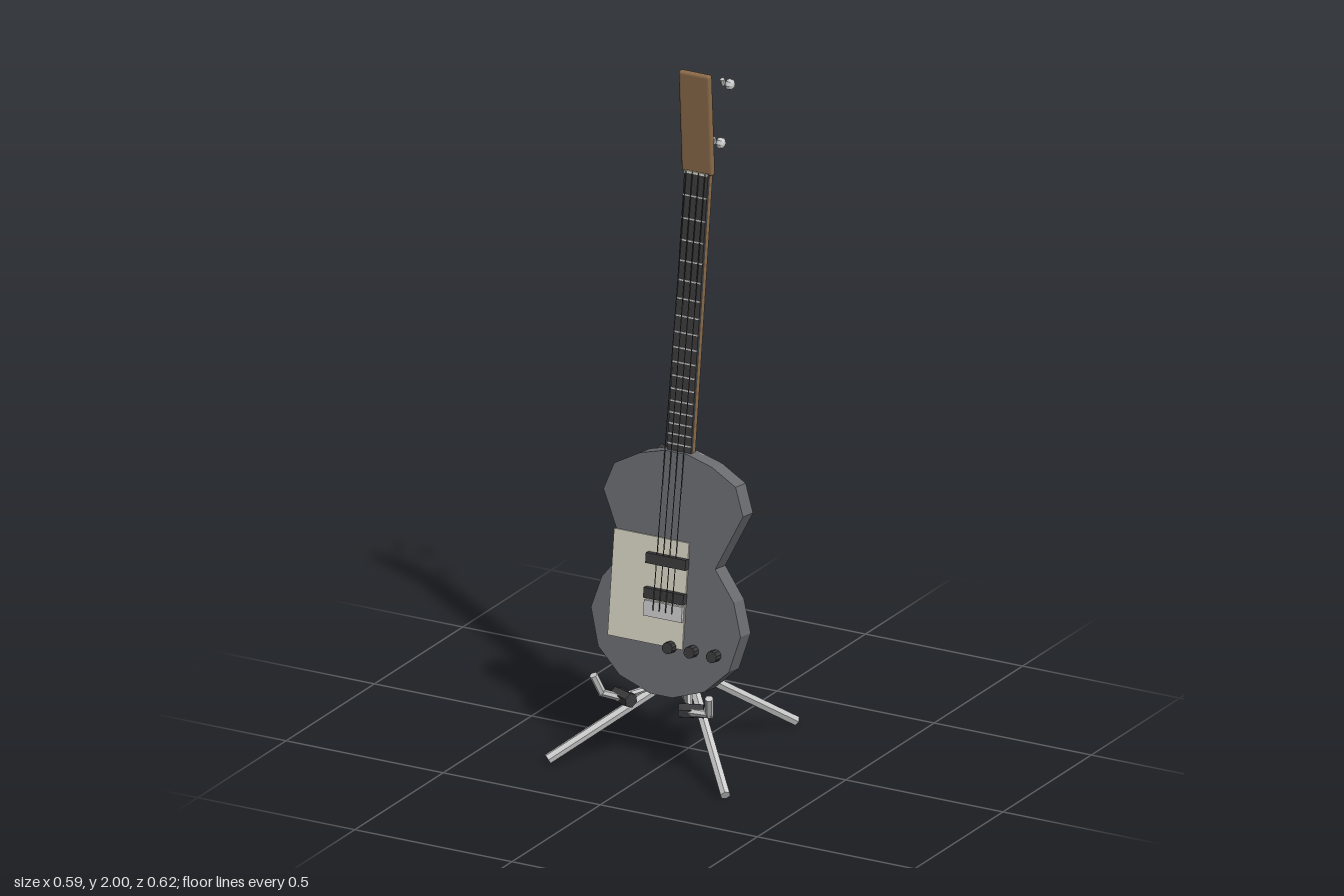
import * as THREE from 'three';
import { RoundedBoxGeometry } from 'three/addons/geometries/RoundedBoxGeometry.js';

const mat = (color) => new THREE.MeshStandardMaterial({ color, flatShading: true });
const M = {
  metal: mat(0xcccccc), body: mat(0x6a6c70), dark: mat(0x3a3a3c),
  wood: mat(0x8b6b4a), cream: mat(0xd8d4c4), string: mat(0x444444),
};
const V = (x, y, z) => new THREE.Vector3(x, y, z);

function add(parent, name, geo, material, x = 0, y = 0, z = 0) {
  const m = new THREE.Mesh(geo, material);
  m.name = name;
  m.position.set(x, y, z);
  parent.add(m);
  return m;
}

// Straight rod between two points
function rod(parent, name, a, b, r, material, sides = 6) {
  const dir = b.clone().sub(a);
  const m = add(parent, name, new THREE.CylinderGeometry(r, r, dir.length(), sides), material);
  m.position.copy(a).add(b).multiplyScalar(0.5);
  m.quaternion.setFromUnitVectors(V(0, 1, 0), dir.normalize());
  return m;
}

function box(parent, name, w, h, d, material, x, y, z) {
  return add(parent, name, new THREE.BoxGeometry(w, h, d), material, x, y, z);
}

// Instrument in its own upright frame: y from the body's bottom, z = 0 in mid body
function buildGuitar() {
  const g = new THREE.Group();
  g.name = 'guitar';

  // Body: mirrored half outline
  const half = [[0.035, 0], [0.135, 0.035], [0.208, 0.105], [0.238, 0.212], [0.21, 0.305],
    [0.145, 0.39], [0.222, 0.555], [0.193, 0.635], [0.115, 0.678], [0.035, 0.7]];
  const outline = [...half, ...half.map(([x, y]) => [-x, y]).reverse()];
  const shape = new THREE.Shape(outline.map(([x, y]) => new THREE.Vector2(x, y)));
  const bodyGeo = new THREE.ExtrudeGeometry(shape, { depth: 0.058, bevelEnabled: false });
  add(g, 'body', bodyGeo, M.body, 0, 0, -0.029);

  // Neck with chamfered back, fretboard and frets
  const nutY = 1.504, neckY = 0.67;
  const section = new THREE.Shape([[-0.037, -0.004], [0.037, -0.004], [0.037, 0.014], [0.025, 0.026],
    [-0.025, 0.026], [-0.037, 0.014]].map(([x, y]) => new THREE.Vector2(x, y)));
  const neckGeo = new THREE.ExtrudeGeometry(section, { depth: nutY - neckY, bevelEnabled: false });
  neckGeo.rotateX(-Math.PI / 2);
  add(g, 'neck', neckGeo, M.wood, 0, neckY, 0);
  box(g, 'fretboard', 0.076, nutY - 0.69, 0.011, M.dark, 0, (nutY + 0.69) / 2, 0.0095);
  const scale = nutY - 0.25;
  for (let i = 1; i <= 17; i++) {
    box(g, 'fret', 0.074, 0.004, 0.003, M.metal, 0, nutY - scale * (1 - 2 ** (-i / 12)), 0.016);
  }
  box(g, 'nut', 0.074, 0.008, 0.008, M.cream, 0, nutY - 0.004, 0.015);

  // Front fittings
  box(g, 'pickguard', 0.238, 0.307, 0.005, M.cream, -0.059, 0.297, 0.0315);
  for (const y of [0.29, 0.39]) box(g, 'pickup', 0.127, 0.03, 0.02, M.dark, -0.001, y, 0.041);
  box(g, 'bridge', 0.122, 0.045, 0.012, M.metal, -0.004, 0.245, 0.038);
  for (const x of [0.024, 0.093, 0.164]) {
    rod(g, 'knob', V(x, 0.146, 0.029), V(x, 0.146, 0.056), 0.017, M.dark, 10);
  }
  for (const x of [-0.03, -0.01, 0.01, 0.03]) {
    rod(g, 'string', V(x, 0.245, 0.053), V(x, nutY, 0.019), 0.0015, M.string, 4);
  }

  g.position.set(0, 0.207, 0.127);
  g.rotation.x = -0.123;
  return g;
}

// Headstock leaning forward, with tuning pegs set behind it
function buildHeadstock() {
  const g = new THREE.Group();
  g.name = 'headstock';
  const board = add(g, 'headstockBoard', new RoundedBoxGeometry(0.1, 0.305, 0.02, 2, 0.008),
    M.wood, 0, 1.847, -0.046);
  board.rotation.x = 0.06;
  for (const [y, z] of [[1.935, -0.15], [1.778, -0.098]]) {
    for (const s of [-1, 1]) {
      const knob = add(g, 'tuningPeg', new THREE.SphereGeometry(0.017, 8, 6), M.metal, s * 0.047, y, z);
      knob.rotation.z = Math.PI / 2;
      knob.scale.y = 0.8;
      rod(g, 'tuningPost', V(s * 0.034, y + 0.002, z + 0.014), V(s * 0.034, y + 0.02, z + 0.021), 0.007, M.metal);
    }
  }
  return g;
}

function buildStand() {
  const g = new THREE.Group();
  g.name = 'stand';
  rod(g, 'hub', V(-0.02, 0.232, 0.005), V(0.02, 0.232, 0.005), 0.015, M.metal);
  rod(g, 'post', V(0, 0.26, 0.03), V(0, 0.815, -0.012), 0.013, M.metal);

  for (const s of [-1, 1]) {
    // Legs
    rod(g, 'frontLeg', V(s * 0.008, 0.235, 0.01), V(s * 0.283, 0.015, 0.295), 0.015, M.metal);
    rod(g, 'rearLeg', V(s * 0.02, 0.235, 0.005), V(s * 0.172, 0.015, -0.3), 0.015, M.metal);
    // Lower cradle
    rod(g, 'cradleArm', V(s * 0.01, 0.218, 0.015), V(s * 0.1, 0.2, 0.175), 0.009, M.metal);
    rod(g, 'cradleBar', V(s * 0.08, 0.193, 0.188), V(s * 0.178, 0.197, 0.185), 0.011, M.metal);
    rod(g, 'cradlePad', V(s * 0.076, 0.193, 0.19), V(s * 0.14, 0.193, 0.163), 0.022, M.dark);
    rod(g, 'cradleProng', V(s * 0.17, 0.195, 0.185), V(s * 0.184, 0.256, 0.212), 0.012, M.metal);
    // Upper yoke
    rod(g, 'yokeArm', V(0, 0.81, -0.012), V(s * 0.057, 0.89, 0.026), 0.01, M.metal);
  }
  rod(g, 'yokePad', V(-0.098, 0.865, -0.02), V(-0.045, 0.865, 0.008), 0.018, M.dark);
  rod(g, 'yokePad', V(0.008, 0.865, -0.022), V(0.055, 0.865, 0.002), 0.018, M.dark);
  return g;
}

export function createModel() {
  const model = new THREE.Group();
  model.name = 'guitarOnStand';
  model.add(buildGuitar(), buildHeadstock(), buildStand());
  return model;
}
